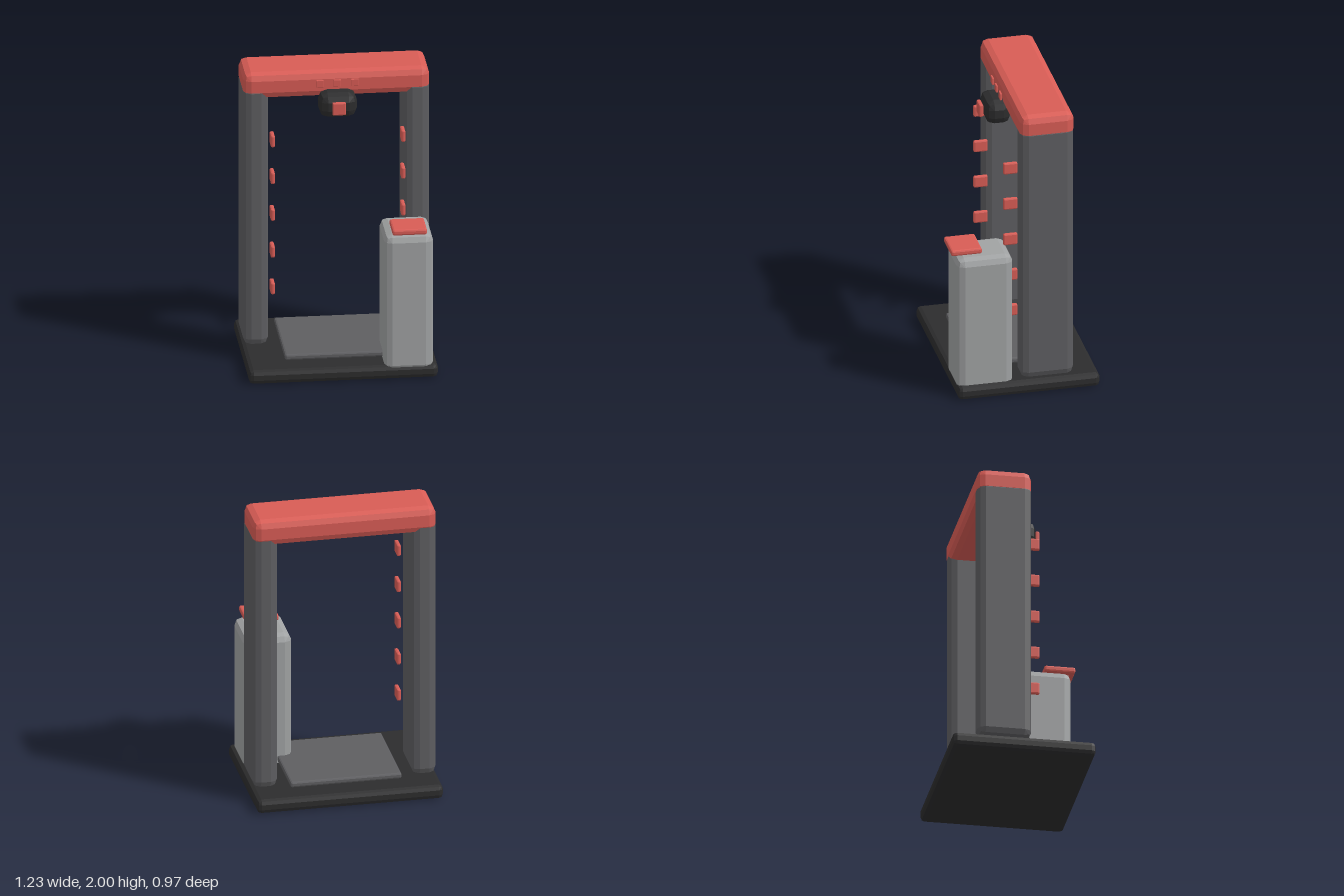
import * as THREE from 'three';
import { ConvexGeometry } from 'three/addons/geometries/ConvexGeometry.js';

const mat = (name, color) => {
  const m = new THREE.MeshStandardMaterial({ color });
  m.name = name;
  return m;
};

// Box with a two-step bevel of radius r on every edge, given by min/max per axis
function bevelBox([x0, x1], [y0, y1], [z0, z1], r) {
  const d = Math.SQRT1_2, c = 1 / Math.sqrt(3);
  const octant = [[1, 0, 0], [0, 1, 0], [0, 0, 1], [d, d, 0], [d, 0, d], [0, d, d], [c, c, c]];
  const half = [(x1 - x0) / 2, (y1 - y0) / 2, (z1 - z0) / 2];
  const points = [];
  for (const sx of [-1, 1]) for (const sy of [-1, 1]) for (const sz of [-1, 1])
    for (const n of octant)
      points.push(new THREE.Vector3(
        sx * (half[0] - r + r * n[0]),
        sy * (half[1] - r + r * n[1]),
        sz * (half[2] - r + r * n[2])));
  const g = new ConvexGeometry(points);
  g.translate((x0 + x1) / 2, (y0 + y1) / 2, (z0 + z1) / 2);
  return g;
}

export function createModel() {
  const group = new THREE.Group();
  group.name = 'scannerGate';
  const red = mat('red', 0xd85c55);
  const darkGrey = mat('darkGrey', 0x5e5e61);
  const lightGrey = mat('lightGrey', 0xa0a2a3);
  const black = mat('black', 0x2c2c2d);

  const add = (name, material, x, y, z, r) => {
    const mesh = new THREE.Mesh(bevelBox(x, y, z, r), material);
    mesh.name = name;
    group.add(mesh);
  };

  // Floor
  add('base', black, [-0.616, 0.616], [0, 0.095], [-0.487, 0.457], 0.03);
  add('floorPlate', darkGrey, [-0.368, 0.368], [0.106, 0.146], [-0.346, 0.314], 0.012);

  // Gate frame
  add('topBeam', red, [-0.606, 0.606], [1.82, 2], [-0.321, 0.037], 0.05);
  for (const [side, s] of [['right', -1], ['left', 1]]) {
    const x = [0.443 * s, 0.607 * s].sort((a, b) => a - b);
    add(side + 'Column', darkGrey, x, [0.1, 1.915], [-0.318, 0.038], 0.05);

    // Row of lamps up the inner edge of the column
    for (let i = 0; i < 5; i++) {
      const y = 0.53 + i * 0.257, lx = 0.425 * s;
      add(side + 'Lamp' + (i + 1), red, [lx - 0.014, lx + 0.014], [y - 0.041, y + 0.041], [0.022, 0.117], 0.01);
    }
  }

  // Camera under the beam
  add('cameraBody', black, [-0.123, 0.123], [1.713, 1.88], [-0.015, 0.154], 0.055);
  add('cameraLens', red, [-0.044, 0.044], [1.75, 1.838], [0.158, 0.186], 0.008);

  // Indicator lights on the beam
  for (const x of [-0.114, 0, 0.114])
    add('indicator', red, [x - 0.025, x + 0.025], [1.905, 1.955], [0.057, 0.07], 0.004);

  // Ticket post
  add('post', lightGrey, [0.268, 0.586], [0.045, 1], [0.082, 0.455], 0.05);
  add('postPanel', red, [0.315, 0.54], [1.015, 1.056], [0.282, 0.487], 0.012);

  return group;
}
